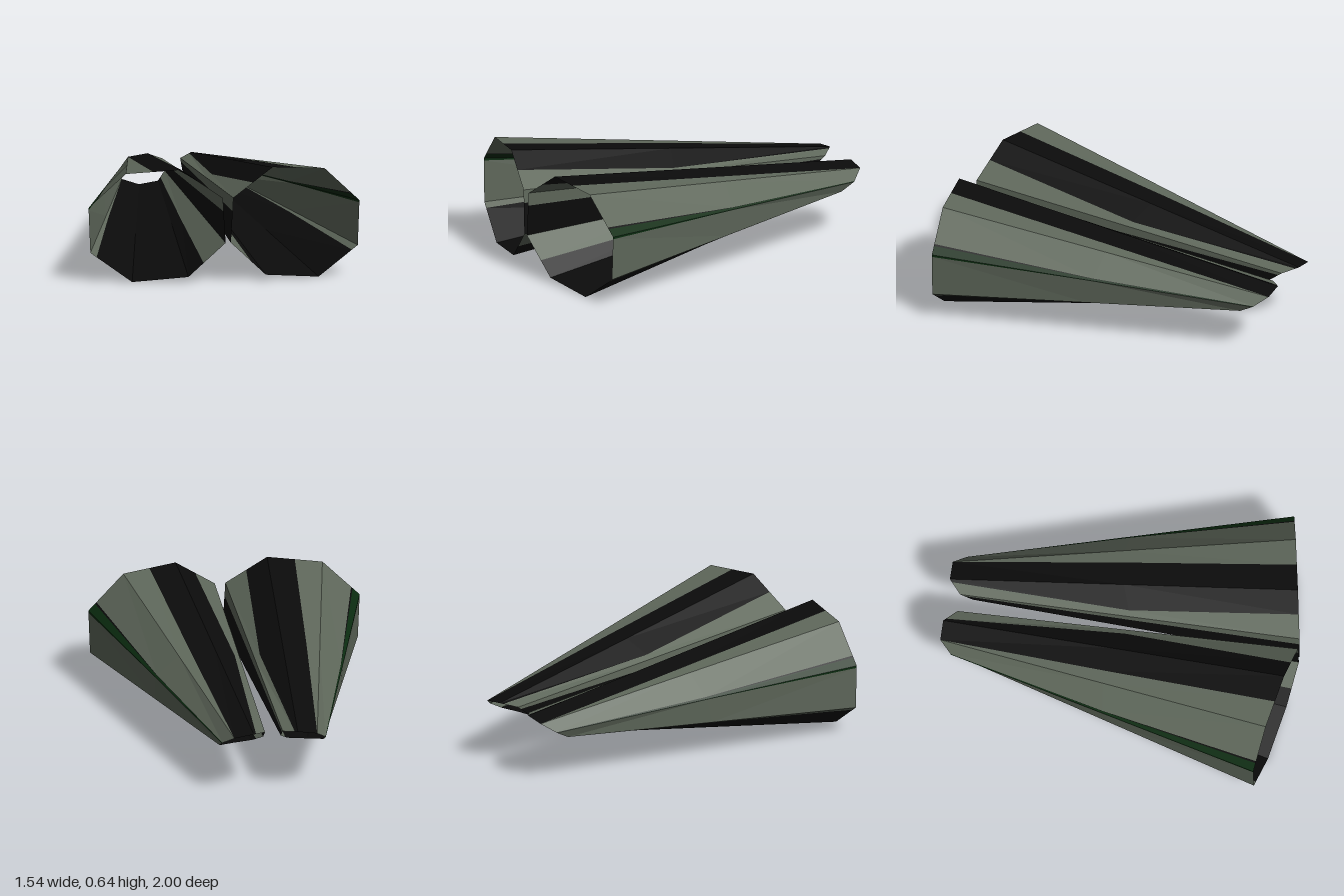
import * as THREE from 'three';

const material = (name, color) => {
  const m = new THREE.MeshStandardMaterial({ color, side: THREE.DoubleSide, flatShading: true });
  m.name = name;
  return m;
};

// Octagonal rims of the left tube, clockwise from the top inner corner
const frontRim = [
  [0.26, 0.64, 0.953], [0.565, 0.615, 0.895], [0.77, 0.42, 0.855], [0.76, 0.165, 0.857],
  [0.53, 0, 0.902], [0.22, 0.03, 0.96], [0.015, 0.225, 1], [0.03, 0.48, 0.997],
].map((p) => new THREE.Vector3(...p));
const rearRim = [
  [0.125, 0.385, -1], [0.235, 0.368, -1], [0.295, 0.315, -0.93], [0.295, 0.27, -0.85],
  [0.21, 0.25, -0.78], [0.1, 0.265, -0.79], [0.05, 0.31, -0.86], [0.05, 0.365, -0.93],
].map((p) => new THREE.Vector3(...p));

// Point on the tube wall: u counts corners around the rim, t runs front to rear
function wallPoint(u, t) {
  const i = Math.floor(u), f = u - i;
  const onRim = (rim) => rim[i % 8].clone().lerp(rim[(i + 1) % 8], f);
  return onRim(frontRim).lerp(onRim(rearRim), t);
}

// Strip of wall between two edges, each given as u at the front, middle and rear
function stripGeometry(start, end) {
  const positions = [];
  // Rim corners inside the strip keep the octagon crisp
  const corners = [];
  for (let c = 0; c <= 9; c++) {
    if (start.every((u) => u <= c) && end.every((u) => u >= c)) corners.push([c, c, c]);
  }
  const edges = [start, ...corners, end];
  for (let e = 0; e < edges.length - 1; e++) {
    for (let k = 0; k < 2; k++) {
      const a = wallPoint(edges[e][k], k / 2);
      const b = wallPoint(edges[e + 1][k], k / 2);
      const c = wallPoint(edges[e + 1][k + 1], (k + 1) / 2);
      const d = wallPoint(edges[e][k + 1], (k + 1) / 2);
      for (const tri of [[a, b, c], [a, c, d]]) {
        const area = new THREE.Triangle(...tri).getArea();
        if (area > 1e-7) tri.forEach((p) => positions.push(p.x, p.y, p.z));
      }
    }
  }
  const g = new THREE.BufferGeometry();
  g.setAttribute('position', new THREE.Float32BufferAttribute(positions, 3));
  g.computeVertexNormals();
  return g;
}

export function createModel() {
  const grey = material('greenish grey', 0x5f685b);
  const black = material('black', 0x0b0b0b);
  const green = material('dark green', 0x0b2c10);

  // Strips in order round the tube: name, material, starting edge
  const strips = [
    ['topStripe', black, [-0.5, -0.8, -0.2]],
    ['upperOuterPanel', grey, [0.5, 0.65, 1]],
    ['outerSeam', black, [1.77, 1.92, 1.95]],
    ['outerPinstripe', green, [1.81, 1.93, 1.95]],
    ['lowerOuterPanel', grey, [2.05, 2.01, 2]],
    ['bottomPanel', black, [3.15, 3.08, 3]],
    ['lowerInnerPanel', grey, [5.41, 5.38, 5.35]],
    ['innerStripe', black, [6, 6, 6]],
    ['upperInnerPanel', grey, [6.7, 6.7, 6.7]],
  ].map(([name, mat, edge]) => [name, mat, edge.map((u) => u + 8)]);

  const model = new THREE.Group();
  model.name = 'taperedTubes';
  const tubes = { leftTube: 1, rightTube: -1 };
  const geometries = strips.map(([, , start], i) => {
    const end = i < strips.length - 1 ? strips[i + 1][2] : strips[0][2].map((u) => u + 8);
    // Shift each strip back to one turn of the rim
    const shift = i === 0 ? 0 : 8;
    return stripGeometry(start.map((u) => u - shift), end.map((u) => u - shift));
  });

  // Mirrored pair of open tubes
  for (const [tubeName, side] of Object.entries(tubes)) {
    const tube = new THREE.Group();
    tube.name = tubeName;
    strips.forEach(([name, mat], i) => {
      const mesh = new THREE.Mesh(geometries[i], mat);
      mesh.name = name;
      tube.add(mesh);
    });
    tube.scale.x = side;
    model.add(tube);
  }
  return model;
}
